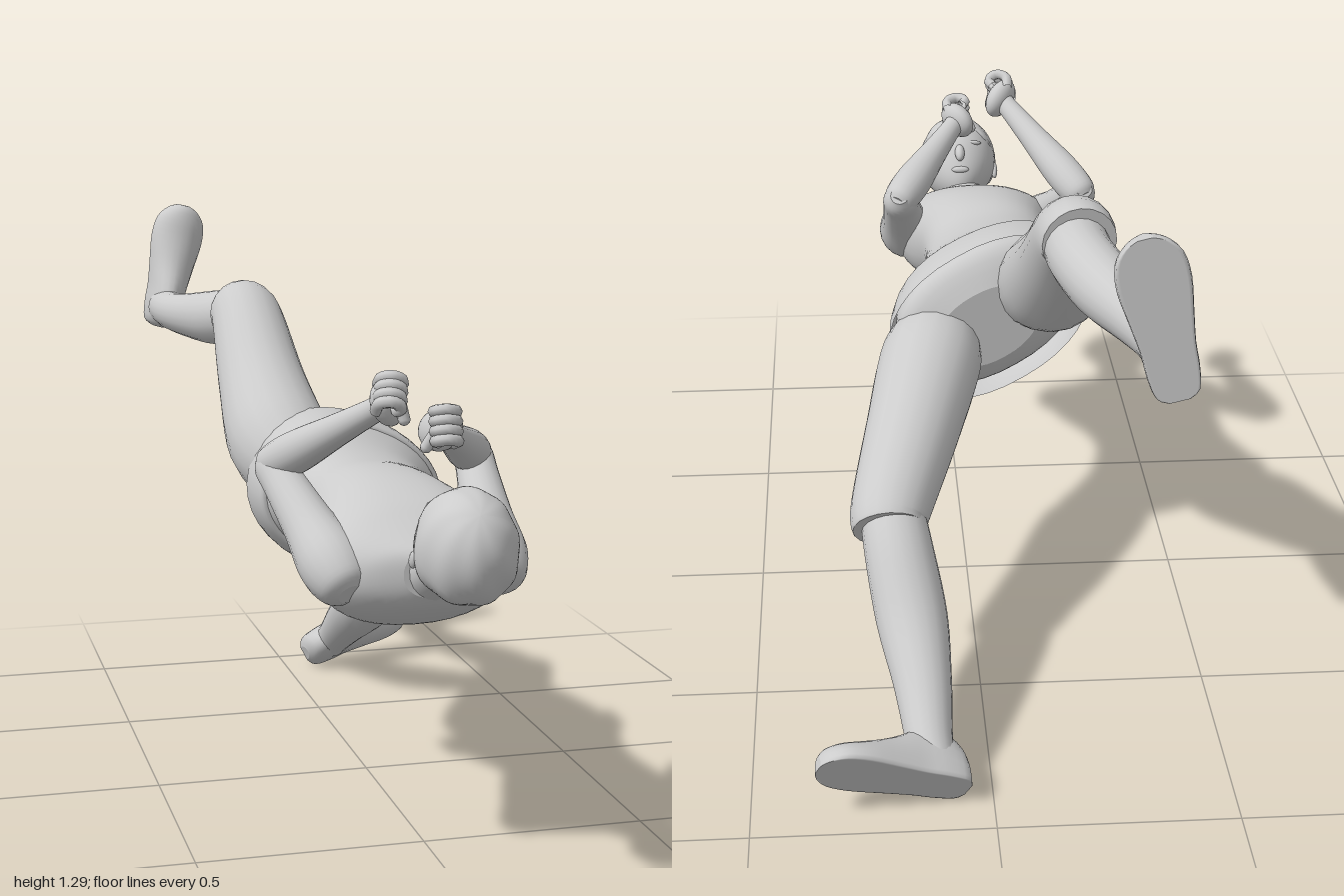
import * as THREE from 'three';

const V = (x, y, z) => new THREE.Vector3(x, y, z);
const material = new THREE.MeshStandardMaterial({ color: 0xcccccc, side: THREE.DoubleSide });

function add(parent, name, geometry) {
  const mesh = new THREE.Mesh(geometry, material);
  mesh.name = name;
  parent.add(mesh);
  return mesh;
}

// Skin a list of equal-sized rings; capped ends get their own vertices for a crisp rim
function loft(rings, caps = true) {
  const n = rings[0].length, pos = [], idx = [];
  rings.forEach(r => r.forEach(p => pos.push(p.x, p.y, p.z)));
  for (let i = 0; i < rings.length - 1; i++) for (let j = 0; j < n; j++) {
    const a = i * n + j, b = i * n + (j + 1) % n;
    idx.push(a, b, a + n, b, b + n, a + n);
  }
  if (caps) [rings[0], rings.at(-1)].forEach((r, end) => {
    const base = pos.length / 3, c = V(0, 0, 0);
    r.forEach(p => { pos.push(p.x, p.y, p.z); c.addScaledVector(p, 1 / n); });
    pos.push(c.x, c.y, c.z);
    for (let j = 0; j < n; j++) {
      const a = base + j, b = base + (j + 1) % n;
      end ? idx.push(a, b, base + n) : idx.push(b, a, base + n);
    }
  });
  const g = new THREE.BufferGeometry();
  g.setAttribute('position', new THREE.Float32BufferAttribute(pos, 3));
  g.setIndex(idx);
  g.computeVertexNormals();
  return g;
}

// Smoothly resample rows of numbers
function resample(rows, steps) {
  const out = [];
  for (let s = 0; s <= steps; s++) {
    const f = s / steps * (rows.length - 1), i = Math.min(Math.floor(f), rows.length - 2), t = f - i;
    const at = k => rows[Math.max(0, Math.min(rows.length - 1, k))];
    out.push(rows[i].map((p1, c) => {
      const p0 = at(i - 1)[c], p2 = at(i + 1)[c], p3 = at(i + 2)[c];
      return p1 + 0.5 * t * (p2 - p0 + t * (2 * p0 - 5 * p1 + 4 * p2 - p3 + t * (3 * (p1 - p2) + p3 - p0)));
    }));
  }
  return out;
}

// Round limb through rows of [x, y, z, radius]
function limb(rows) {
  const pts = resample(rows, (rows.length - 1) * 5);
  return loft(pts.map((p, i) => {
    const a = pts[Math.max(0, i - 1)], b = pts[Math.min(pts.length - 1, i + 1)];
    const t = V(b[0] - a[0], b[1] - a[1], b[2] - a[2]).normalize();
    const u = V(1, 0, 0).addScaledVector(t, -t.x).normalize(), v = t.clone().cross(u);
    return Array.from({ length: 20 }, (_, j) => {
      const k = j / 20 * Math.PI * 2;
      return V(p[0], p[1], p[2]).addScaledVector(u, p[3] * Math.cos(k)).addScaledVector(v, p[3] * Math.sin(k));
    });
  }));
}

// Trunk through rows of [z, x, y, halfWidth, halfDepth, rollDegrees, skew]
function trunk(rows, caps) {
  return loft(resample(rows, (rows.length - 1) * 4).map(([z, x, y, a, b, roll, skew]) => {
    const r = roll * Math.PI / 180;
    return Array.from({ length: 36 }, (_, j) => {
      const k = j / 36 * Math.PI * 2, c = Math.cos(k), s = Math.sin(k);
      const p = a * Math.sign(c) * Math.abs(c) ** 0.9, q = b * Math.sign(s) * Math.abs(s) ** 0.9;
      const dx = p * Math.cos(r) + q * Math.sin(r);
      return V(x + dx, y - p * Math.sin(r) + q * Math.cos(r), z - skew * dx);
    });
  }), caps);
}

// Group with its own axes: up = local y, forward = local z
function oriented(parent, name, origin, up, forward) {
  const f = forward.clone().normalize(), u = up.clone().addScaledVector(f, -up.dot(f)).normalize();
  const g = new THREE.Group();
  g.name = name;
  g.quaternion.setFromRotationMatrix(new THREE.Matrix4().makeBasis(u.clone().cross(f), u, f));
  g.position.copy(origin);
  parent.add(g);
  return g;
}

function foot(parent, name, heel, up, forward) {
  const g = oriented(parent, name, heel, up, forward);
  // [distance from heel, half width, height]
  const rows = [[0, 0.02, 0.04], [0.015, 0.042, 0.085], [0.06, 0.05, 0.122], [0.11, 0.052, 0.112],
    [0.17, 0.06, 0.084], [0.24, 0.069, 0.06], [0.29, 0.063, 0.048], [0.32, 0.04, 0.036], [0.332, 0.015, 0.02]];
  add(g, 'foot', loft(resample(rows, 24).map(([d, w, h]) => Array.from({ length: 24 }, (_, j) => {
    const k = j / 24 * Math.PI * 2, s = Math.sin(k);
    return V(w * Math.cos(k), s > 0 ? 0.008 + h * s : 0.008 + 0.008 * Math.max(-1, s * 4), d);
  }))));
}

// Clenched fist: palm, four curled fingers and a thumb
function fist(parent, name, origin, along, palmward, side) {
  const g = oriented(parent, name, origin, along, palmward);
  add(g, 'palm', new THREE.SphereGeometry(1, 20, 14)).scale.set(0.044, 0.052, 0.03);
  for (let i = 0; i < 4; i++) {
    const x = (i - 1.5) * 0.02;
    const path = new THREE.CatmullRomCurve3([V(x, 0.022, -0.012), V(x, 0.046, 0.006), V(x, 0.042, 0.034),
      V(x, 0.018, 0.042), V(x, 0.01, 0.024)]);
    add(g, 'finger', new THREE.TubeGeometry(path, 12, 0.0125, 8));
  }
  const thumb = add(g, 'thumb', new THREE.CapsuleGeometry(0.0125, 0.036, 4, 10));
  thumb.position.set(side * 0.024, 0, 0.034);
  thumb.rotation.z = side * 0.8;
}

// Head shape: narrowed towards the jaw with a forward chin; the hair is cut along a hairline
function skull(isHair) {
  const g = new THREE.SphereGeometry(1, 48, 36), p = g.attributes.position;
  for (let i = 0; i < p.count; i++) {
    const x = p.getX(i), y = p.getY(i), z = p.getZ(i), low = Math.max(0, -y);
    let k = 1;
    if (isHair) {
      const line = z > 0 ? 0.42 * z + 0.1 - 0.22 * Math.abs(x) + 0.06 * Math.sin(16 * x) : -0.55 + 0.3 * (1 + z);
      const locks = 0.018 * (1 - y * y) * Math.sin(8 * Math.atan2(x, z) + 5 * y);
      k = y > line ? 1.03 + locks : 0.9;
    }
    p.setXYZ(i, x * 0.099 * k * (1 - 0.25 * low * low), y * 0.123 * k,
      (z * 0.116 * (z < 0 ? 1 - 0.3 * low : 1 - 0.08 * low) + 0.035 * low * low) * k);
  }
  g.computeVertexNormals();
  return g;
}

export function createModel() {
  const body = new THREE.Group();
  body.name = 'recliningFigure';

  // Torso, twisting from level shoulders to rolled hips
  add(body, 'torso', trunk([
    [-0.04, -0.05, 0.67, 0.12, 0.09, 26, 0.2], [0.0, -0.05, 0.68, 0.205, 0.15, 26, 0.2],
    [0.06, -0.055, 0.681, 0.225, 0.167, 25, 0.2],
    [0.12, -0.06, 0.69, 0.212, 0.155, 21, 0.2], [0.2, -0.073, 0.7, 0.178, 0.126, 14, 0.15],
    [0.3, -0.073, 0.705, 0.155, 0.106, 8, 0.05], [0.4, -0.07, 0.693, 0.16, 0.122, 4, 0],
    [0.5, -0.062, 0.666, 0.184, 0.139, 2, 0], [0.59, -0.058, 0.645, 0.205, 0.132, 0, 0],
    [0.65, -0.056, 0.64, 0.197, 0.104, 0, 0], [0.7, -0.05, 0.643, 0.135, 0.072, 0, 0],
    [0.725, -0.045, 0.65, 0.065, 0.05, 0, 0]]));
  add(body, 'shirtHem', trunk([
    [-0.01, -0.055, 0.677, 0.242, 0.182, 26, 0.21], [0.04, -0.055, 0.679, 0.24, 0.181, 25, 0.21],
    [0.103, -0.058, 0.685, 0.228, 0.17, 22, 0.21], [0.113, -0.059, 0.688, 0.21, 0.154, 21, 0.21]], false));

  // Legs: knee-length trousers, shins and feet
  add(body, 'rightThigh', limb([[-0.165, 0.74, 0.04, 0.105], [-0.193, 0.795, -0.06, 0.12], [-0.2, 0.905, -0.22, 0.104],
    [-0.2, 1.037, -0.39, 0.087], [-0.205, 1.047, -0.45, 0.079]]));
  add(body, 'leftThigh', limb([[0.055, 0.63, 0.03, 0.088], [0.086, 0.598, -0.06, 0.117], [0.137, 0.518, -0.25, 0.106],
    [0.192, 0.422, -0.43, 0.089], [0.197, 0.395, -0.475, 0.08]]));
  add(body, 'rightShin', limb([[-0.2, 1.035, -0.4, 0.07], [-0.205, 1.033, -0.5, 0.069], [-0.24, 1.02, -0.62, 0.068],
    [-0.285, 1.014, -0.75, 0.056], [-0.312, 1.014, -0.85, 0.049], [-0.316, 1.018, -0.93, 0.048]]));
  add(body, 'leftShin', limb([[0.19, 0.42, -0.44, 0.07], [0.178, 0.36, -0.51, 0.075], [0.155, 0.252, -0.61, 0.077],
    [0.138, 0.17, -0.73, 0.062], [0.13, 0.105, -0.83, 0.05], [0.122, 0.07, -0.88, 0.047]]));
  foot(body, 'rightFoot', V(-0.33, 0.96, -1), V(0, 0, 1), V(0.23, 0.97, 0));
  foot(body, 'leftFoot', V(0.053, 0.028, -0.912), V(-0.05, 0.38, 0.92), V(0.28, 0.105, -0.058));

  // Arms bent back so the fists sit above the chin
  [['right', [-0.228, 0.65, 0.63], [-0.305, 0.825, 0.4], [-0.15, 0.965, 0.625], -1],
    ['left', [0.118, 0.645, 0.61], [0.14, 0.825, 0.38], [0.004, 0.915, 0.622], 1]].forEach(([side, s, e, w, sign]) => {
    const mix = (a, b, t, r) => [...a.map((p, i) => p + (b[i] - p) * t), r];
    add(body, side + 'UpperArm', limb([mix(s, e, -0.24, 0.025), mix(s, e, -0.17, 0.055), mix(s, e, 0.05, 0.069),
      mix(s, e, 0.4, 0.055), mix(s, e, 0.8, 0.045), mix(s, e, 1, 0.041), mix(s, e, 1.1, 0.022)]));
    add(body, side + 'Forearm', limb([mix(e, w, -0.08, 0.024), mix(e, w, 0, 0.041), mix(e, w, 0.25, 0.045),
      mix(e, w, 0.65, 0.034), mix(e, w, 1, 0.026), mix(e, w, 1.1, 0.026)]));
    const along = V(w[0] - e[0], w[1] - e[1], w[2] - e[2]).normalize();
    fist(body, side + 'Fist', V(...w).addScaledVector(along, 0.045), along, V(-sign * 0.7, 0.2, 0.5), sign);
  });

  // Neck and head, chin tucked forward
  add(body, 'neck', limb([[-0.045, 0.643, 0.66, 0.08], [-0.042, 0.655, 0.71, 0.06], [-0.038, 0.672, 0.76, 0.052],
    [-0.032, 0.695, 0.83, 0.056]]));
  const head = oriented(body, 'head', V(-0.03, 0.731, 0.876), V(0, 0.68, 0.73), V(0, 0.73, -0.68));
  add(head, 'face', skull(false));
  add(head, 'hair', skull(true));
  const nose = add(head, 'nose', new THREE.SphereGeometry(1, 14, 10));
  nose.scale.set(0.013, 0.026, 0.017);
  nose.position.set(0, -0.028, 0.114);
  nose.rotation.x = -0.3;
  const mouth = add(head, 'mouth', new THREE.SphereGeometry(1, 14, 8));
  mouth.scale.set(0.023, 0.009, 0.008);
  mouth.position.set(0, -0.07, 0.1);
  for (const s of [-1, 1]) {
    const ear = add(head, 'ear', new THREE.SphereGeometry(1, 14, 10));
    ear.scale.set(0.008, 0.023, 0.015);
    ear.position.set(s * 0.098, -0.025, 0);
    const brow = add(head, 'brow', new THREE.SphereGeometry(1, 14, 8));
    brow.scale.set(0.022, 0.006, 0.008);
    brow.position.set(s * 0.037, 0.006, 0.103);
  }
  return body;
}
